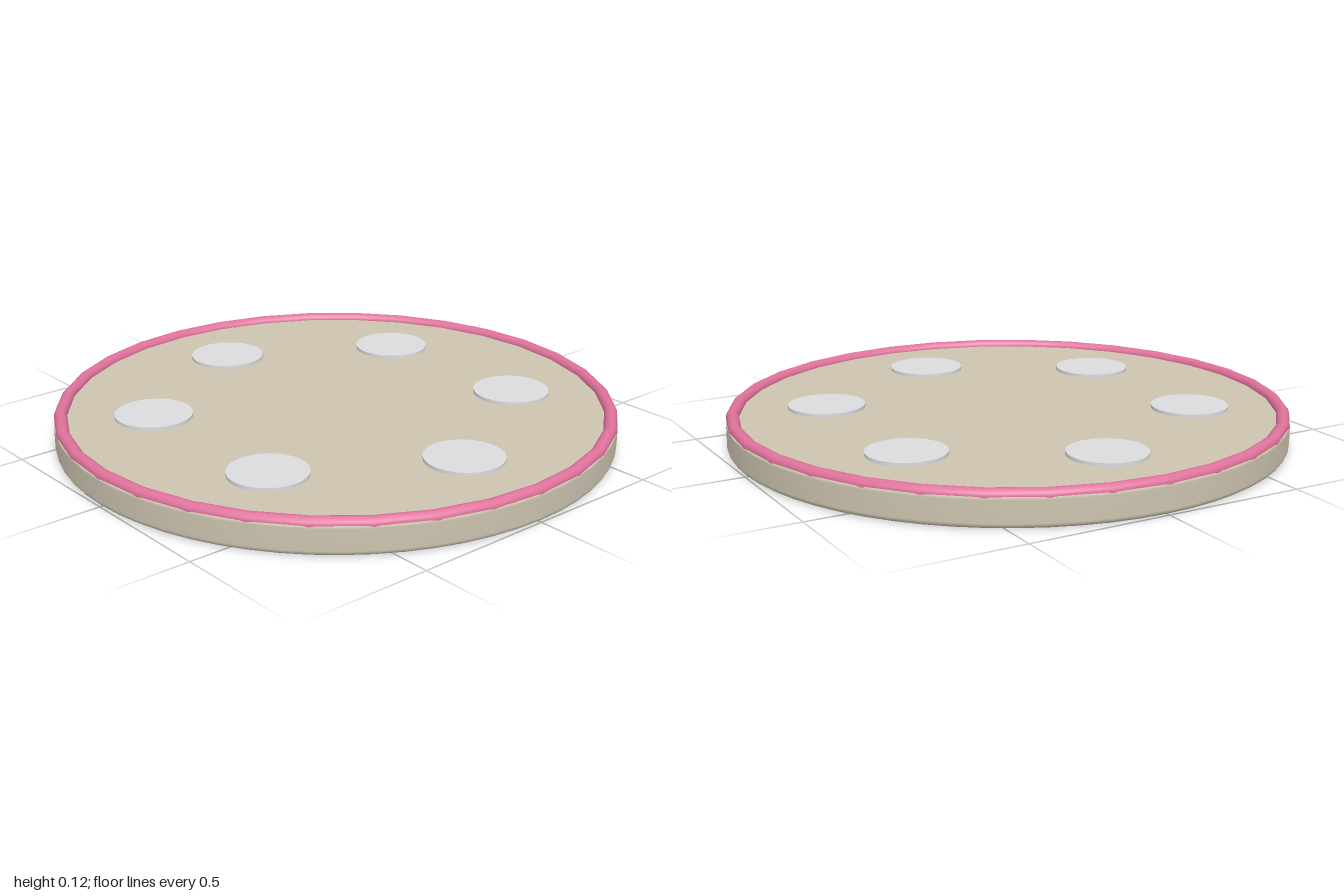
import * as THREE from 'three';

export function createModel() {
  const group = new THREE.Group();
  const material = (name, color) => {
    const m = new THREE.MeshStandardMaterial({ color });
    m.name = name;
    return m;
  };
  const beige = material('warm beige', 0xcdc4b0);
  const pink = material('rose pink', 0xe0729c);
  const grey = material('light grey', 0xdcdcde);

  const add = (name, geometry, mat, x, y, z) => {
    const mesh = new THREE.Mesh(geometry, mat);
    mesh.name = name;
    mesh.position.set(x, y, z);
    group.add(mesh);
    return mesh;
  };

  // Round base with a softened lower edge
  const top = 0.102, bevel = 0.018;
  const profile = [new THREE.Vector2(0, 0), new THREE.Vector2(0.97, 0)];
  for (let i = 0; i <= 4; i++) {
    const a = (i / 4) * Math.PI / 2;
    profile.push(new THREE.Vector2(
      1 - bevel + bevel * Math.sin(a), bevel - bevel * Math.cos(a)));
  }
  [[1, top - 0.01], [1, top], [0.97, top], [0, top]]
    .forEach(([r, y]) => profile.push(new THREE.Vector2(r, y)));
  add('base', new THREE.LatheGeometry(profile, 64), beige, 0, 0, 0);

  // Raised rim
  const rim = new THREE.TorusGeometry(0.978, 0.023, 12, 32);
  rim.rotateX(-Math.PI / 2);
  add('rim', rim, pink, 0, top, 0);

  // Ring of six flat pads
  const pad = new THREE.CylinderGeometry(0.138, 0.138, 0.024, 32);
  for (let i = 0; i < 6; i++) {
    const a = i * Math.PI / 3;
    add('pad' + (i + 1), pad, grey, 0.652 * Math.cos(a), top, 0.652 * Math.sin(a));
  }
  return group;
}
